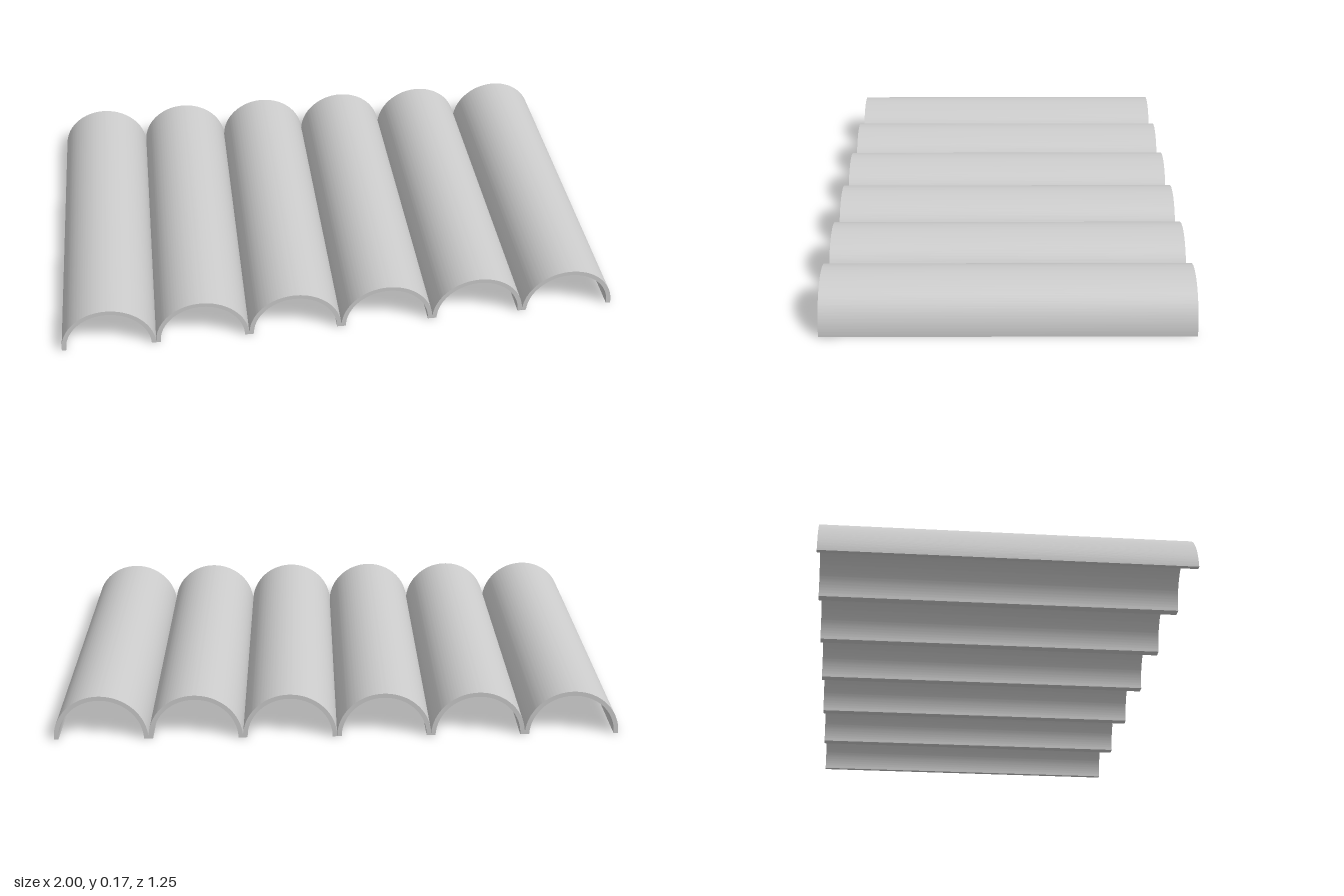
import * as THREE from 'three';
import { toCreasedNormals } from 'three/addons/utils/BufferGeometryUtils.js';

const COUNT = 6;
const LENGTH = 1.25;
const RADIUS = 1 / COUNT;
const THICKNESS = 0.016;

// Half-pipe: a semicircular band extruded along z
function halfPipeGeometry() {
  const band = new THREE.Shape();
  band.absarc(0, 0, RADIUS, 0, Math.PI, false);
  band.absarc(0, 0, RADIUS - THICKNESS, Math.PI, 0, true);
  band.closePath();
  const geometry = new THREE.ExtrudeGeometry(band, {
    depth: LENGTH, bevelEnabled: false, curveSegments: 48,
  });
  geometry.translate(0, 0, -LENGTH / 2);
  return toCreasedNormals(geometry, Math.PI / 6);
}

export function createModel() {
  const model = new THREE.Group();
  model.name = 'corrugatedRoofPanel';
  const material = new THREE.MeshStandardMaterial({ color: 0xcccccc });
  const geometry = halfPipeGeometry();

  // Row of arched tiles touching side by side
  for (let i = 0; i < COUNT; i++) {
    const tile = new THREE.Mesh(geometry, material);
    tile.name = `archedTile${i + 1}`;
    tile.position.x = (2 * i + 1 - COUNT) * RADIUS;
    model.add(tile);
  }
  return model;
}
